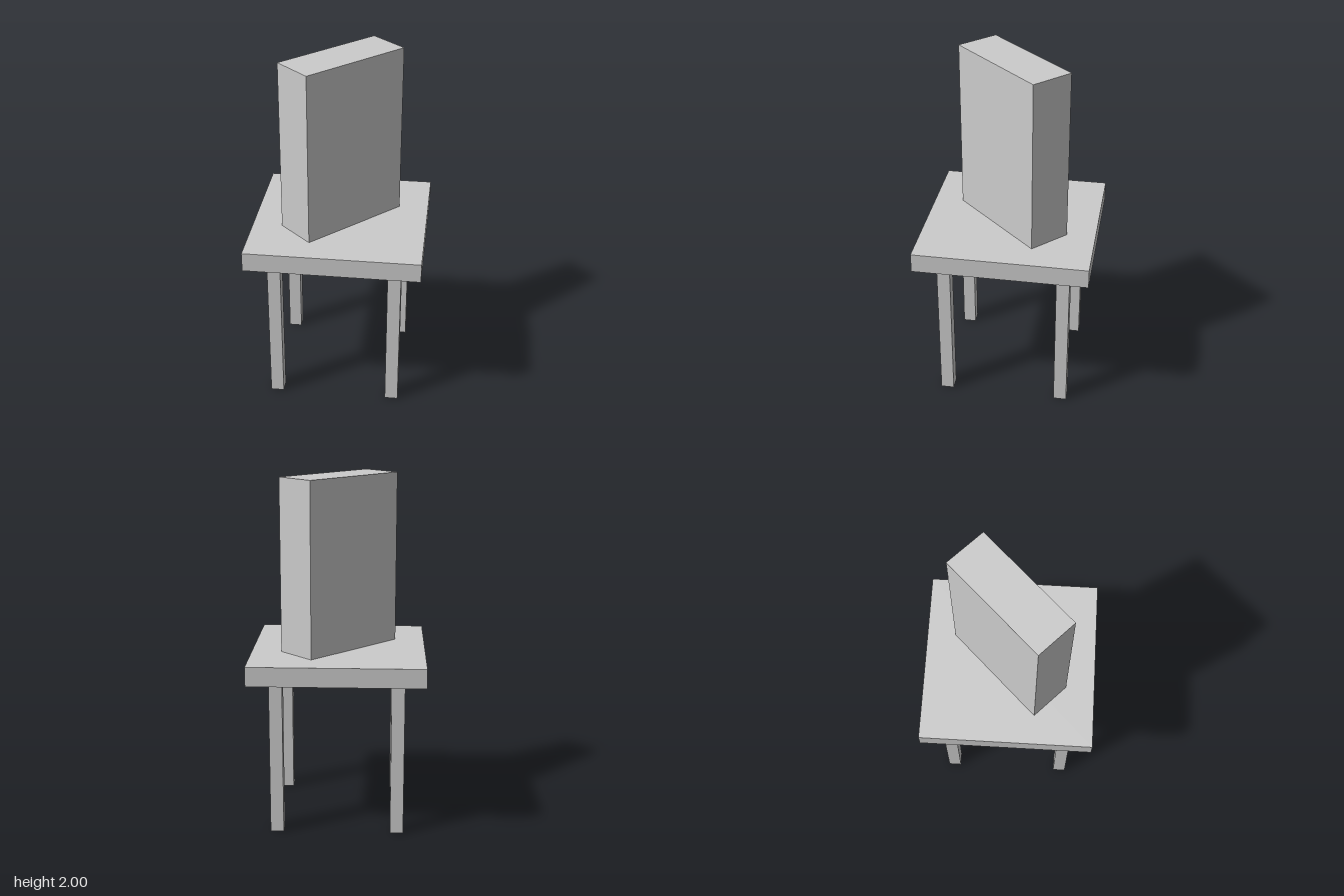
import * as THREE from 'three';

const material = new THREE.MeshStandardMaterial({ color: 0xcccccc, flatShading: true });

// Box standing with its underside at height y
function block(name, width, height, depth, x, y, z) {
  const mesh = new THREE.Mesh(new THREE.BoxGeometry(width, height, depth), material);
  mesh.name = name;
  mesh.position.set(x, y + height / 2, z);
  return mesh;
}

export function createModel() {
  const chair = new THREE.Group();
  chair.name = 'chair';

  const legHeight = 0.9, seatTop = 1.01, legOffset = 0.342;

  // Four square legs
  for (const [sx, xName] of [[1, 'Left'], [-1, 'Right']]) {
    for (const [sz, zName] of [[1, 'front'], [-1, 'back']]) {
      chair.add(block(`${zName}${xName}Leg`, 0.075, legHeight, 0.075, sx * legOffset, 0, sz * legOffset));
    }
  }

  // Square seat slab
  chair.add(block('seat', 0.99, seatTop - legHeight, 0.99, 0, legHeight, 0));

  // Thick backrest turned diagonally across the middle of the seat
  const backrest = block('backrest', 0.677, 2 - seatTop, 0.253, 0, seatTop, 0);
  backrest.rotation.y = THREE.MathUtils.degToRad(46);
  chair.add(backrest);

  return chair;
}
